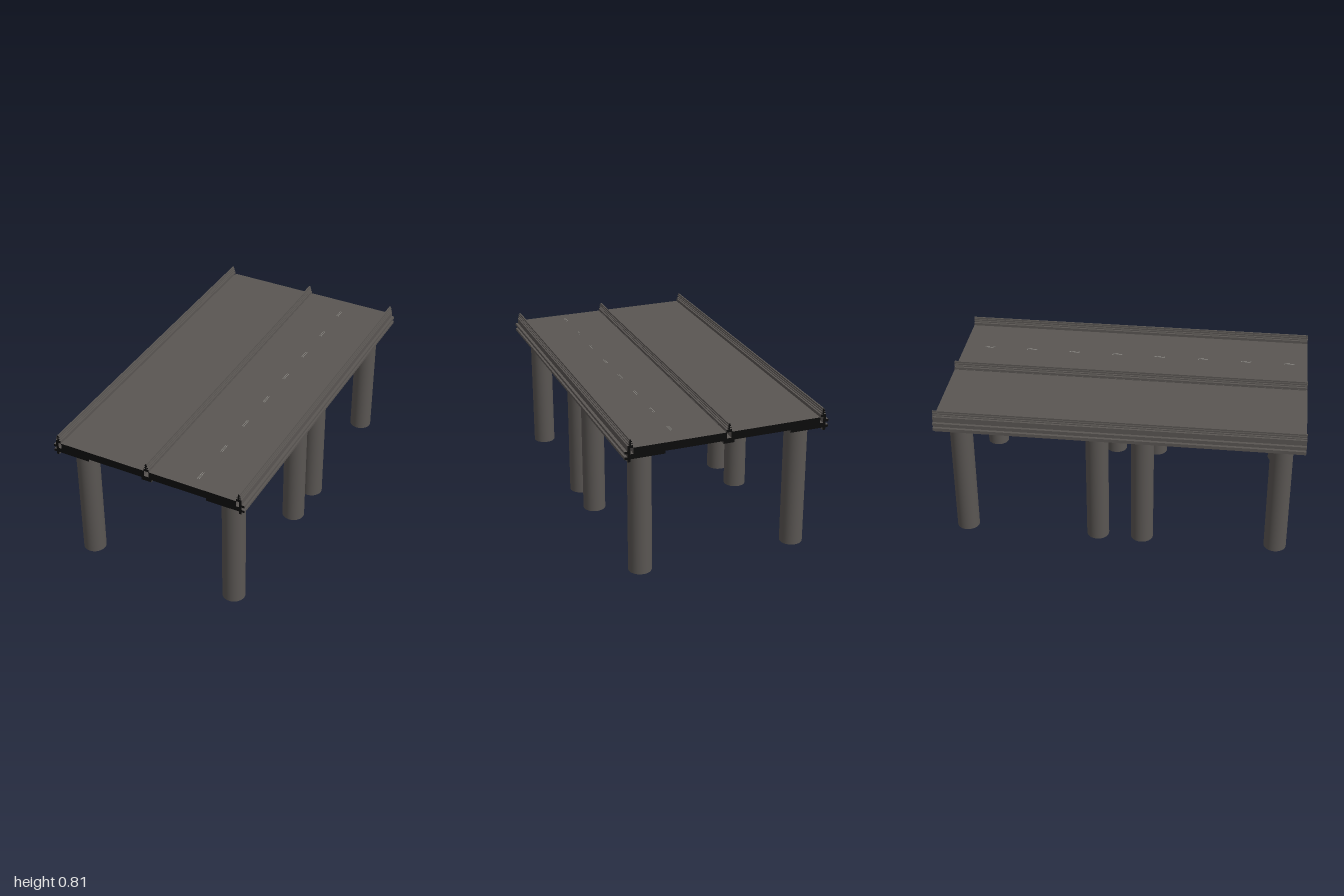
import * as THREE from 'three';

export function createModel() {
  const root = new THREE.Group();
  const mat = (name, color) => {
    const m = new THREE.MeshStandardMaterial({ color });
    m.name = name;
    return m;
  };
  const concrete = mat('concrete', 0x5a5653);
  const endCap = mat('blackEnds', 0x0b0b0b);
  const panelGrey = mat('soffitPanel', 0x777873);
  const paint = mat('laneMarking', 0x96948f);

  const add = (name, geometry, material, x = 0, y = 0, z = 0) => {
    const mesh = new THREE.Mesh(geometry, material);
    mesh.name = name;
    mesh.position.set(x, y, z);
    root.add(mesh);
    return mesh;
  };

  // Full-length beam from a cross-section, with black end faces
  const beam = (name, points, side = 1, offset = 0) => {
    const shape = new THREE.Shape(points.map(([x, y]) => new THREE.Vector2(side * x + offset, y)));
    const geo = new THREE.ExtrudeGeometry(shape, { depth: 2, bevelEnabled: false });
    geo.translate(0, 0, -1);
    return add(name, geo, [endCap, concrete]);
  };

  // Half of the guard rail section: cap, thin stem and small flanges
  const railHalf = [
    [0.015, 0.765], [0.015, 0.78], [0.004, 0.78], [0.004, 0.786], [0.012, 0.786],
    [0.012, 0.791], [0.004, 0.791], [0.004, 0.798], [0.009, 0.798], [0.009, 0.803],
    [0.004, 0.803], [0.004, 0.812],
  ];
  const railSection = [...railHalf, ...railHalf.map(([x, y]) => [-x, y]).reverse()];
  for (const x of [-0.53, 0, 0.53]) beam('guardRail', railSection, 1, x);

  // Central channel below the middle rail
  beam('centreChannel', [[-0.03, 0.705], [0.03, 0.705], [0.03, 0.732], [-0.03, 0.732]]);

  for (const side of [-1, 1]) {
    // Road slab, thicker over the columns
    beam('roadSlab', [
      [0.015, 0.72], [0.345, 0.72], [0.345, 0.705], [0.513, 0.705], [0.513, 0.765], [0.015, 0.765],
    ], side);
    // Supports for the middle rail
    beam('railWeb', [[0.013, 0.73], [0.016, 0.73], [0.016, 0.768], [0.013, 0.768]], side);
    // Outer fascia with two projecting flanges
    beam('fascia', [
      [0.513, 0.705], [0.53, 0.705], [0.53, 0.69], [0.545, 0.69], [0.545, 0.705],
      [0.56, 0.705], [0.56, 0.719], [0.545, 0.719], [0.545, 0.735], [0.56, 0.735],
      [0.56, 0.749], [0.545, 0.749], [0.545, 0.766], [0.53, 0.766], [0.53, 0.732], [0.513, 0.732],
    ], side);

    // Columns
    for (const z of [-0.875, -0.125, 0.125, 0.875]) {
      add('column', new THREE.CylinderGeometry(0.0625, 0.0625, 0.706, 32), concrete, side * 0.4375, 0.353, z);
    }
    // Recessed soffit panels between the ribs
    for (let i = 0; i < 8; i++) {
      add('soffitPanel', new THREE.BoxGeometry(0.29, 0.004, 0.19), panelGrey, side * 0.1875, 0.719, -0.875 + i * 0.25);
    }
  }

  // Cross ribs and the wider bands above them
  for (let i = 0; i < 7; i++) {
    const z = -0.75 + i * 0.25;
    add('crossRib', new THREE.BoxGeometry(1.06, 0.016, 0.02), concrete, 0, 0.698, z);
    add('crossBand', new THREE.BoxGeometry(0.69, 0.016, 0.06), concrete, 0, 0.713, z);
  }

  // Dashed double line on one carriageway
  for (let i = 0; i < 8; i++) {
    for (const x of [0.259, 0.268]) {
      add('laneMarking', new THREE.BoxGeometry(0.002, 0.002, 0.06), paint, x, 0.765, -0.85 + i * 0.25);
    }
  }
  return root;
}
